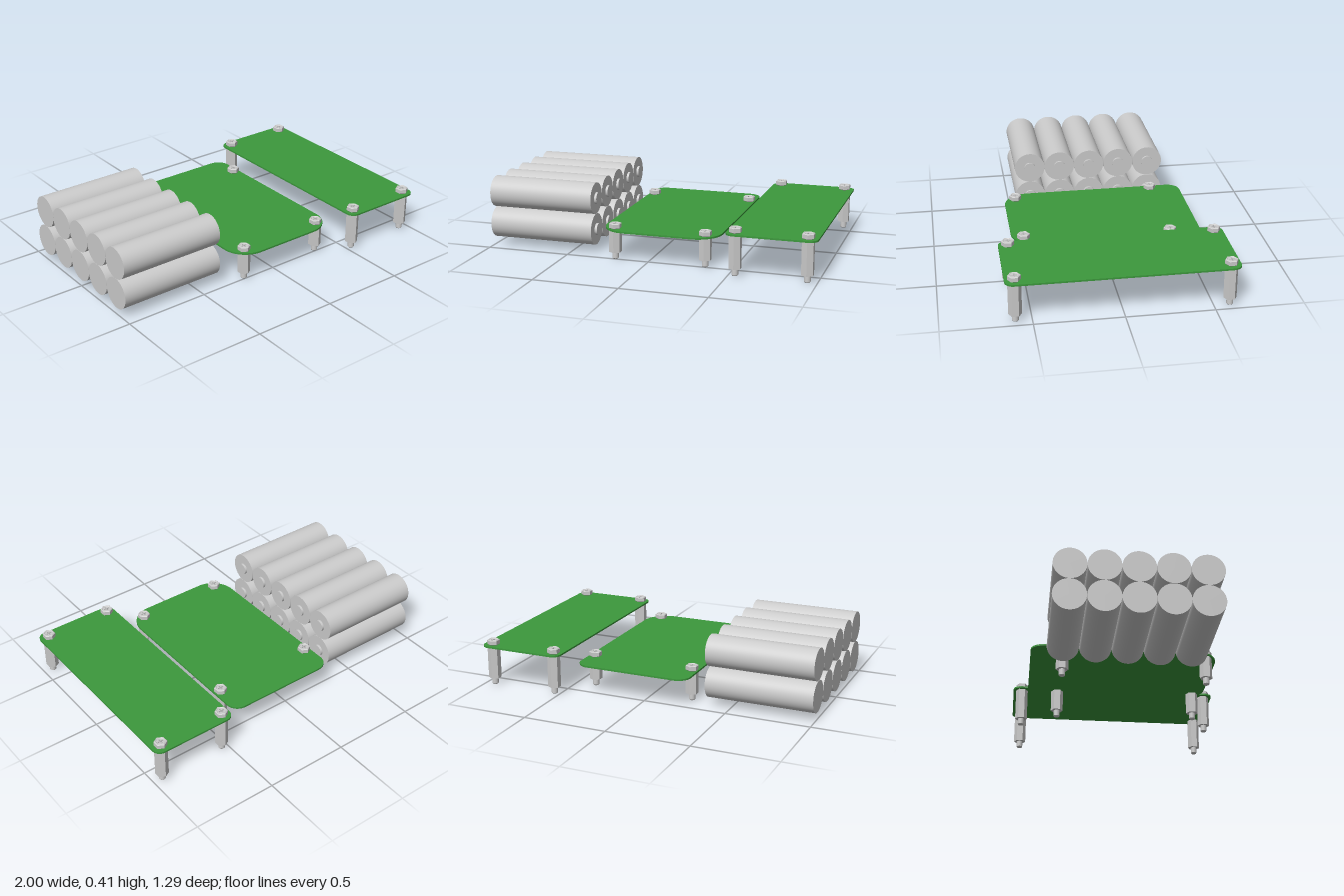
import * as THREE from 'three';

const grey = new THREE.MeshStandardMaterial({ color: 0xcccccc });
const greyFlat = new THREE.MeshStandardMaterial({ color: 0xcccccc, flatShading: true });
const green = new THREE.MeshStandardMaterial({ color: 0x3c983c });

function add(parent, name, geometry, material, x = 0, y = 0, z = 0) {
  const mesh = new THREE.Mesh(geometry, material);
  mesh.name = name;
  mesh.position.set(x, y, z);
  parent.add(mesh);
  return mesh;
}

// Extrudes a plan shape upwards (shape y becomes -z)
function extrudeUp(shape, depth, bevel = 0) {
  const g = new THREE.ExtrudeGeometry(shape, {
    depth: depth - 2 * bevel, curveSegments: 16, bevelEnabled: bevel > 0,
    bevelThickness: bevel, bevelSize: bevel, bevelOffset: -bevel, bevelSegments: 1,
  });
  return g.translate(0, 0, bevel).rotateX(-Math.PI / 2);
}

// Board outline with separate back and front corner radii
function boardShape(x0, x1, zBack, zFront, rb, rf) {
  const s = new THREE.Shape();
  const top = -zBack, bottom = -zFront, q = Math.PI / 2;
  s.absarc(x1 - rf, bottom + rf, rf, -q, 0);
  s.absarc(x1 - rb, top - rb, rb, 0, q);
  s.absarc(x0 + rb, top - rb, rb, q, 2 * q);
  s.absarc(x0 + rf, bottom + rf, rf, 2 * q, 3 * q);
  s.closePath();
  return s;
}

// Hexagonal nut with a round bore, corners along z
function nutShape() {
  const pts = [];
  for (let i = 0; i < 6; i++) {
    const a = Math.PI / 2 + i * Math.PI / 3;
    pts.push(new THREE.Vector2(0.0375 * Math.cos(a), 0.0375 * Math.sin(a)));
  }
  const s = new THREE.Shape(pts);
  s.holes.push(new THREE.Path().absarc(0, 0, 0.022, 0, Math.PI * 2, true));
  return s;
}

// Screw head with a cross-shaped recess
function screwShape() {
  const s = new THREE.Shape().absarc(0, 0, 0.024, 0, Math.PI * 2);
  const a = 0.004, b = 0.017;
  const cross = [[a, b], [a, a], [b, a], [b, -a], [a, -a], [a, -b],
    [-a, -b], [-a, -a], [-b, -a], [-b, a], [-a, a], [-a, b]];
  s.holes.push(new THREE.Path(cross.map(([x, y]) => new THREE.Vector2(x, y))));
  return s;
}

const nutGeo = extrudeUp(nutShape(), 0.031, 0.004);
const screwGeo = extrudeUp(screwShape(), 0.014);
const screwCoreGeo = new THREE.CylinderGeometry(0.022, 0.022, 0.014, 32);
const pinGeo = new THREE.CylinderGeometry(0.019, 0.019, 0.036, 24);
const pinTipGeo = new THREE.CylinderGeometry(0.019, 0.015, 0.005, 24);

// Standoff post below the board, nut and screw above it
function standoff(x, z, boardBottom, boardTop) {
  const g = new THREE.Group();
  g.name = 'standoff';
  const h = boardBottom - 0.041;
  add(g, 'post', new THREE.CylinderGeometry(0.0375, 0.0375, h, 6), greyFlat, 0, 0.041 + h / 2, 0);
  add(g, 'pin', pinGeo, grey, 0, 0.023, 0);
  add(g, 'pinTip', pinTipGeo, grey, 0, 0.0025, 0);
  add(g, 'nut', nutGeo, greyFlat, 0, boardTop, 0);
  add(g, 'screwCore', screwCoreGeo, grey, 0, boardTop + 0.007, 0);
  add(g, 'screwHead', screwGeo, grey, 0, boardTop + 0.014, 0);
  g.position.set(x, 0, z);
  return g;
}

function boardAssembly(name, shape, bottom, thickness, mounts) {
  const g = new THREE.Group();
  g.name = name;
  add(g, 'board', extrudeUp(shape, thickness), green, 0, bottom, 0);
  for (const [x, z] of mounts) g.add(standoff(x, z, bottom, bottom + thickness));
  return g;
}

export function createModel() {
  const model = new THREE.Group();
  model.name = 'electronicsLayout';

  // Battery pack: two layers of five cells lying along x
  const pack = new THREE.Group();
  pack.name = 'batteryPack';
  const cellGeo = new THREE.CylinderGeometry(0.0932, 0.0932, 0.638, 64).rotateZ(-Math.PI / 2);
  const nubGeo = new THREE.CylinderGeometry(0.035, 0.035, 0.014, 40).rotateZ(-Math.PI / 2);
  for (const y of [0.134, 0.321]) {
    for (let i = -2; i <= 2; i++) {
      const z = i * 0.187;
      add(pack, 'cell', cellGeo, grey, -0.681, y, z);
      add(pack, 'cellTerminal', nubGeo, grey, -0.355, y, z);
    }
  }
  model.add(pack);

  // Low middle board with wider rounding at the front
  model.add(boardAssembly('middleBoard',
    boardShape(-0.283, 0.416, -0.555, 0.552, 0.075, 0.15), 0.172, 0.01,
    [[-0.245, -0.37], [0.378, -0.37], [-0.204, 0.484], [0.336, 0.484]]));

  // Taller narrow board
  model.add(boardAssembly('sideBoard',
    boardShape(0.485, 1, -0.645, 0.645, 0.05, 0.05), 0.237, 0.01,
    [[0.537, -0.591], [0.943, -0.591], [0.537, 0.591], [0.943, 0.591]]));

  return model;
}
